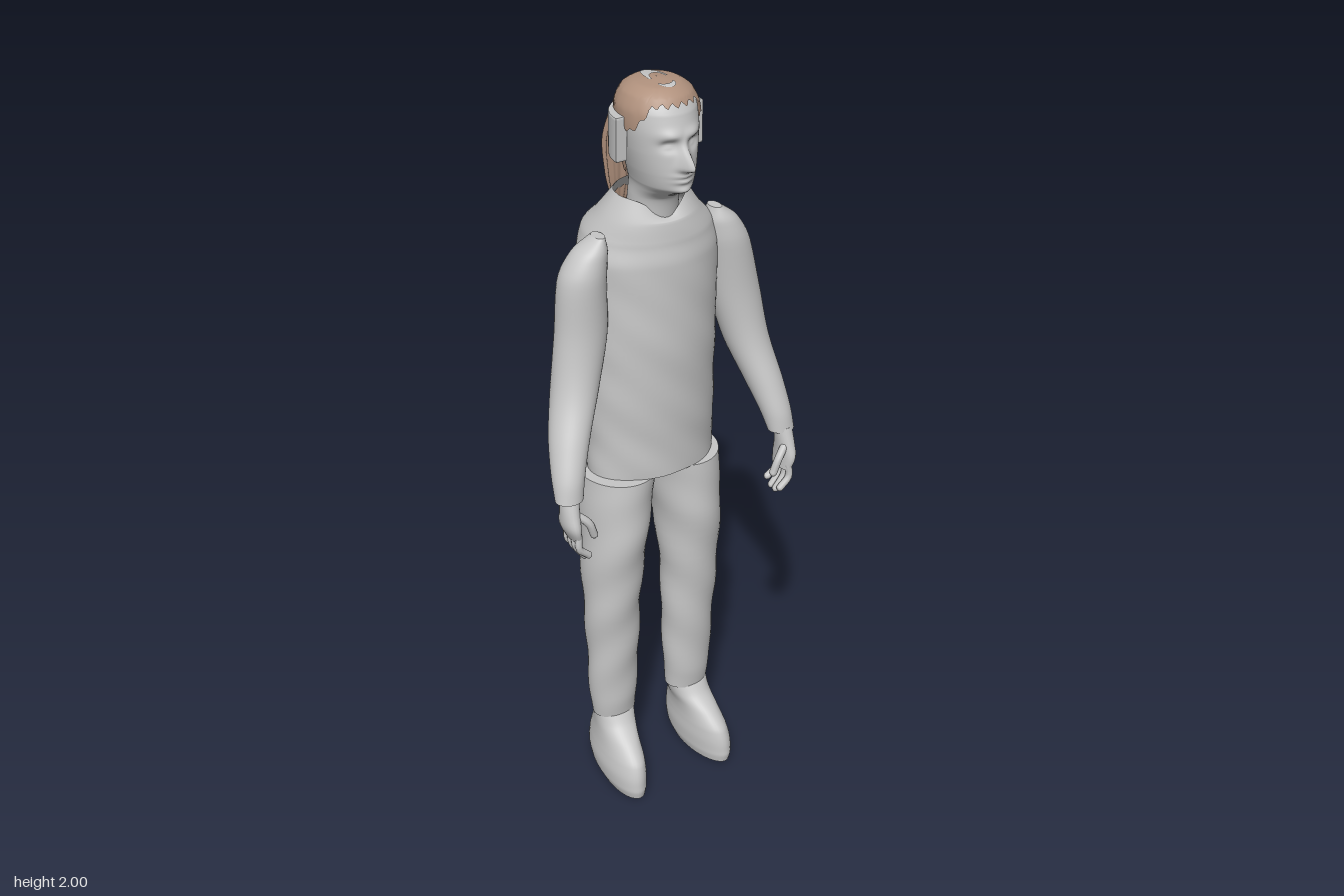
import * as THREE from 'three';

const grey = new THREE.MeshStandardMaterial({ color: 0xc6c6c6, side: THREE.DoubleSide });
grey.name = 'plain grey';
const brown = new THREE.MeshStandardMaterial({ color: 0xb0917d, side: THREE.DoubleSide });
brown.name = 'hair brown';

const gauss = (d, w) => Math.exp(-(d * d) / (w * w));

// Smooth surface over a grid of points; wrap joins the last column to the first
function grid(rows, cols, wrap, fn) {
  const pos = [], idx = [], n = wrap ? cols : cols + 1;
  for (let i = 0; i <= rows; i++)
    for (let j = 0; j < n; j++) pos.push(...fn(i / rows, j / cols).toArray());
  for (let i = 0; i < rows; i++)
    for (let j = 0; j < cols; j++) {
      const a = i * n + j, b = i * n + (j + 1) % n;
      idx.push(a, b, b + n, a, b + n, a + n);
    }
  return { pos, idx, n };
}

function finish({ pos, idx }) {
  const g = new THREE.BufferGeometry();
  g.setAttribute('position', new THREE.Float32BufferAttribute(pos, 3));
  g.setIndex(idx);
  g.computeVertexNormals();
  return g;
}

// Point function through sections [y, centre x, centre z, radius x, radius z], bottom to top
function rings(sections) {
  const c = new THREE.CatmullRomCurve3(sections.map(s => new THREE.Vector3(s[1], s[0], s[2])));
  const r = new THREE.CatmullRomCurve3(sections.map(s => new THREE.Vector3(s[3], 0, s[4])));
  return (t, a, grow = 0) => {
    const p = c.getPoint(t), q = r.getPoint(t);
    return new THREE.Vector3(p.x + (Math.max(q.x, 0) + grow) * Math.sin(a), p.y, p.z + (Math.max(q.z, 0) + grow) * Math.cos(a));
  };
}

// Closed tube of rings with optional flat caps and a warp rule
function loft(sections, { rows = 40, cols = 40, capLow = true, capHigh = true, warp = p => p } = {}) {
  const ring = rings(sections);
  const g = grid(rows, cols, true, (u, v) => warp(ring(u, v * Math.PI * 2), v * Math.PI * 2, u));
  const cap = (row, up) => {
    const start = g.pos.length / 3, c = [0, 0, 0];
    const pts = g.pos.slice(row * cols * 3, (row + 1) * cols * 3);
    pts.forEach((v, i) => { c[i % 3] += v / cols; });
    g.pos.push(...pts, ...c);
    for (let j = 0; j < cols; j++) {
      const a = start + j, b = start + (j + 1) % cols;
      g.idx.push(...(up ? [a, b, start + cols] : [b, a, start + cols]));
    }
  };
  if (capLow) cap(0, false);
  if (capHigh) cap(rows, true);
  return finish(g);
}

export function createModel() {
  const model = new THREE.Group();
  const add = (name, geometry, material = grey, parent = model) => {
    const m = new THREE.Mesh(geometry, material);
    m.name = name;
    parent.add(m);
    return m;
  };

  // Shirt with soft creases and a dipped front neckline
  add('shirt', loft([
    [0.965, 0.018, -0.025, 0.176, 0.12], [1.1, 0.018, -0.03, 0.177, 0.13],
    [1.3, 0.018, -0.032, 0.177, 0.14], [1.45, 0.02, -0.038, 0.18, 0.146],
    [1.55, 0.02, -0.042, 0.181, 0.148], [1.61, 0.02, -0.043, 0.166, 0.142],
    [1.66, 0.01, -0.022, 0.13, 0.112], [1.72, 0.006, -0.005, 0.092, 0.077],
  ], {
    rows: 64, cols: 64, capHigh: false,
    warp: (p, a, t) => {
      const s = Math.sin(a), crease = 0.0025 * Math.sin(p.y * 42 + 5 * s) * Math.sin(3 * a + p.y * 9) * (1 - t);
      p.x += crease * s;
      p.z += crease * Math.cos(a);
      if (Math.cos(a) > 0) p.y -= 0.05 * gauss(s, 0.55) * Math.max(0, (t - 0.86) / 0.14);
      return p;
    },
  }));

  // Trouser legs and shoes
  const leg = [
    [0.2, 0.118, 0.003, 0.061, 0.048], [0.26, 0.12, 0.003, 0.067, 0.055], [0.4, 0.119, 0.003, 0.072, 0.063],
    [0.6, 0.121, 0.005, 0.078, 0.076], [0.8, 0.108, -0.005, 0.088, 0.105], [0.9, 0.097, -0.016, 0.094, 0.114],
    [0.965, 0.088, -0.02, 0.099, 0.115],
  ];
  const shoe = [
    [0, 0.131, 0.062, 0.046, 0.112], [0.025, 0.132, 0.05, 0.054, 0.128], [0.06, 0.132, 0.042, 0.056, 0.132],
    [0.1, 0.13, 0.036, 0.052, 0.125], [0.14, 0.126, 0.022, 0.05, 0.098], [0.175, 0.12, 0.008, 0.054, 0.066],
    [0.212, 0.117, 0.002, 0.057, 0.045],
  ];
  for (const [side, sx] of [['left', 1], ['right', -1]]) {
    const shift = y => (sx > 0 ? 0.015 * Math.max(0, (y - 0.6) / 0.36) : 0);
    add(side + 'TrouserLeg', loft(leg.map(([y, x, ...r]) => [y, sx * x + shift(y), ...r]), {
      warp: (p, a, t) => {
        const w = 0.0025 * Math.sin(p.y * 34 + 2 * a * sx) * Math.sin(t * Math.PI);
        p.x += w * Math.sin(a);
        p.z += w * Math.cos(a);
        return p;
      },
    }));
    add(side + 'Shoe', loft(shoe.map(([y, x, ...r]) => [y, sx * (x + (sx > 0 ? 0.004 : 0)), ...r]), {
      // narrower heel, wider toe
      warp: (p, a) => { p.x += sx * 0.008 * Math.cos(a) * gauss(p.y, 0.13); return p; },
    }));
  }

  // Sleeves: [y, right x, left x, z, radius x, radius z]
  const sleeve = [
    [1.02, -0.313, 0.32, 0.13, 0.036, 0.031], [1.07, -0.303, 0.314, 0.11, 0.041, 0.042],
    [1.15, -0.275, 0.3, 0.07, 0.05, 0.054], [1.26, -0.23, 0.274, 0.025, 0.06, 0.06],
    [1.39, -0.2, 0.248, 0.008, 0.067, 0.058], [1.54, -0.192, 0.217, 0.008, 0.06, 0.056],
    [1.6, -0.172, 0.197, 0.01, 0.043, 0.044], [1.635, -0.15, 0.18, 0.012, 0.014, 0.024],
  ];
  for (const [side, sx] of [['left', 1], ['right', -1]]) {
    add(side + 'Sleeve', loft(sleeve.map(([y, r, l, ...rest]) => [y, sx > 0 ? l : r, ...rest])));

    // Hand: palm, four curled fingers and a thumb
    const hand = new THREE.Group();
    hand.name = side + 'Hand';
    hand.position.set(sx > 0 ? 0.008 : 0, 0, sx > 0 ? 0.008 : 0);
    model.add(hand);
    add('palm', loft([
      [0.915, sx * 0.308, 0.137, 0.014, 0.036], [0.95, sx * 0.316, 0.137, 0.021, 0.042],
      [0.985, sx * 0.316, 0.135, 0.023, 0.033], [1.03, sx * 0.312, 0.13, 0.024, 0.022],
    ], { rows: 12, cols: 20 }), grey, hand);
    const finger = (name, pts, r) => {
      const curve = new THREE.CatmullRomCurve3(pts.map(([x, y, z]) => new THREE.Vector3(sx * x, y, z)));
      add(name, new THREE.TubeGeometry(curve, 8, r, 8), grey, hand);
      add(name + 'Tip', new THREE.SphereGeometry(r, 8, 6), grey, hand).position.copy(curve.getPoint(1));
    };
    for (let i = 0; i < 4; i++) {
      const z = 0.108 + i * 0.019, low = [0.868, 0.852, 0.85, 0.862][i];
      finger('finger', [[0.309, 0.93, z], [0.31, 0.895, z + 0.003], [0.284, low + 0.005, z + 0.002]], 0.0095);
    }
    finger('thumb', [[0.308, 0.985, 0.15], [0.278, 0.955, 0.163], [0.264, 0.918, 0.162]], 0.0105);
  }

  // Head with neck; brow, sockets, nose, lips and chin are pushed out of the front
  const headSections = [
    [1.64, 0, 0.012, 0.062, 0.06], [1.72, 0, 0.02, 0.06, 0.066], [1.748, 0, 0.036, 0.06, 0.086],
    [1.765, 0, 0.045, 0.064, 0.102], [1.8, 0, 0.046, 0.073, 0.106], [1.85, 0, 0.042, 0.083, 0.106],
    [1.9, 0, 0.037, 0.089, 0.106], [1.94, 0, 0.032, 0.089, 0.1], [1.97, 0, 0.03, 0.074, 0.083],
    [1.986, 0, 0.03, 0.048, 0.055], [1.993, 0, 0.03, 0.001, 0.001],
  ];
  const headRing = rings(headSections);
  add('head', loft(headSections, {
    rows: 110, cols: 110, capHigh: false,
    warp: (p, a) => {
      if (Math.cos(a) <= 0) return p;
      const { x, y } = p, ax = Math.abs(x);
      p.z += 0.043 * gauss(x, 0.011 + 0.14 * Math.max(0, 1.86 - y) * 0.8) * gauss(y - 1.826, y > 1.826 ? 0.036 : 0.013)
        + 0.008 * gauss(ax - 0.03, 0.025) * gauss(y - 1.895, 0.013)
        - 0.014 * gauss(ax - 0.032, 0.018) * gauss(y - 1.872, 0.013)
        + 0.006 * gauss(ax - 0.032, 0.011) * gauss(y - 1.869, 0.006)
        + 0.009 * gauss(x, 0.024) * gauss(y - 1.801, 0.006)
        + 0.008 * gauss(x, 0.022) * gauss(y - 1.787, 0.006)
        + 0.012 * gauss(x, 0.024) * gauss(y - 1.759, 0.013);
      return p;
    },
  }));

  // Hair cap: from a hairline that is high in front and low at the nape, up to the crown
  const solve = test => {
    let lo = 0, hi = 1;
    for (let k = 0; k < 24; k++) { const m = (lo + hi) / 2; if (test(m)) lo = m; else hi = m; }
    return lo;
  };
  const hairline = a => {
    const d = Math.abs(a > Math.PI ? a - 2 * Math.PI : a);
    const base = d < 0.7 ? 1.958 : d < 1.25 ? THREE.MathUtils.lerp(1.958, 1.9, (d - 0.7) / 0.55)
      : d < 1.9 ? 1.9 : THREE.MathUtils.lerp(1.9, 1.755, Math.min(1, (d - 1.9) / 0.45));
    return base + 0.005 * Math.sin(23 * a);
  };
  const lift = 0.007;
  add('hairCap', finish(grid(28, 96, true, (u, v) => {
    const a = v * Math.PI * 2, start = solve(t => headRing(t, 0).y < hairline(a));
    const p = headRing(start + (1 - start) * u, a, lift * Math.min(1, (1 - u) * 12));
    p.y += lift * THREE.MathUtils.smoothstep(p.y, 1.93, 1.99);
    return p;
  })), brown);

  // Thin bare patches lying on the crown
  const crownY = (x, z) => {
    const t = solve(m => {
      const c = headRing(m, 0, lift), s = headRing(m, Math.PI / 2, lift);
      return m < 0.7 || (x / s.x) ** 2 + ((z - s.z) / (c.z - s.z)) ** 2 < 1;
    });
    return headRing(t, 0).y + lift + 0.002;
  };
  const patch = (z0, dir, inner, outer) => finish(grid(6, 24, false, (u, v) => {
    const b = (v - 0.5) * Math.PI;
    const x = dir * Math.sin(b) * THREE.MathUtils.lerp(outer[0], inner[0], u);
    const z = z0 + dir * Math.cos(b) * THREE.MathUtils.lerp(outer[1], inner[1], u);
    return new THREE.Vector3(x, crownY(x, z), z);
  }));
  add('rearCrownPatch', patch(0.04, -1, [0.018, 0.028], [0.025, 0.068]));
  add('frontCrownPatch', patch(0.07, 1, [0.016, 0.009], [0.022, 0.025]));

  // Band around the back and sides of the head, open at the face
  const bandShape = new THREE.Shape();
  bandShape.absellipse(0, 0, 0.115, 0.112, 0, Math.PI, false);
  bandShape.lineTo(-0.092, 0);
  bandShape.absellipse(0, 0, 0.092, 0.098, Math.PI, 0, true);
  const band = add('headBand', new THREE.ExtrudeGeometry(bandShape, {
    depth: 0.096, bevelEnabled: true, bevelSize: 0.003, bevelThickness: 0.006, bevelSegments: 3, curveSegments: 32,
  }));
  band.rotation.x = -Math.PI / 2;
  band.position.set(0, 1.825, 0.043);

  // Ponytail with ridged strands
  add('ponytail', loft([
    [1.595, 0.004, -0.15, 0.003, 0.003], [1.64, 0.004, -0.142, 0.02, 0.016], [1.7, 0.004, -0.139, 0.035, 0.028],
    [1.8, 0.003, -0.132, 0.044, 0.037], [1.88, 0.002, -0.107, 0.034, 0.032], [1.93, 0, -0.083, 0.022, 0.03],
    [1.955, 0, -0.07, 0.017, 0.027], [1.966, 0, -0.068, 0.006, 0.012],
  ], {
    cols: 88,
    warp: (p, a, t) => {
      const w = 0.0035 * Math.cos(11 * a + 3 * t) * Math.sin(t * Math.PI);
      p.x += w * Math.sin(a);
      p.z += w * Math.cos(a);
      return p;
    },
  }), brown);

  return model;
}
